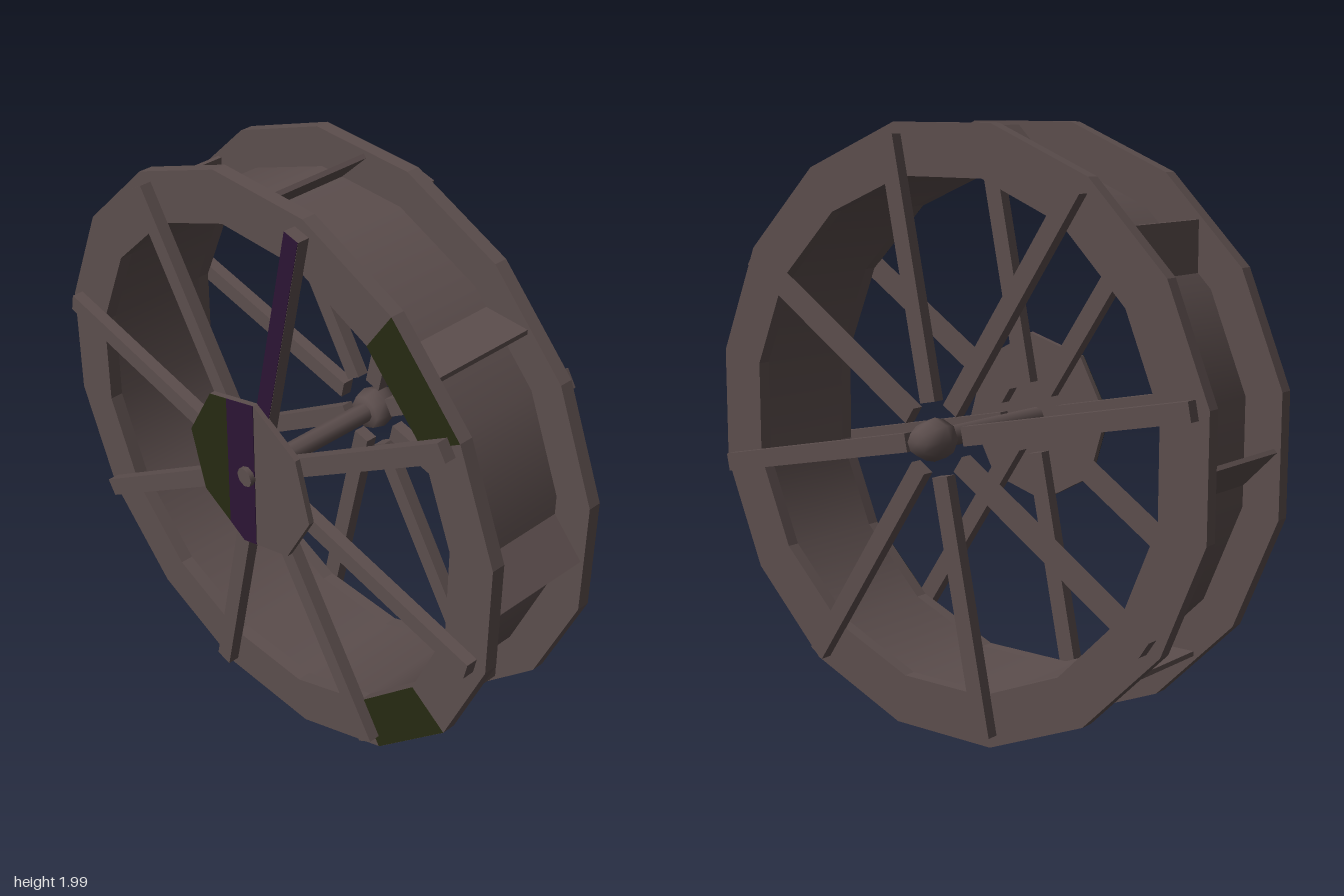
import * as THREE from 'three';

const wood = new THREE.MeshStandardMaterial({ color: 0x5c4e4d, side: THREE.DoubleSide });
wood.name = 'brownWood';
const plum = new THREE.MeshStandardMaterial({ color: 0x2c1434 });
plum.name = 'darkPlum';
const olive = new THREE.MeshStandardMaterial({ color: 0x262a12 });
olive.name = 'darkOlive';

const rad = THREE.MathUtils.degToRad;
const SIDES = 16;
const STEP = 360 / SIDES;

// Point in the wheel plane; angle rises from +z towards +y
const polar = (r, deg) => [r * Math.cos(rad(deg)), r * Math.sin(rad(deg))];
const toVec = ([z, y]) => new THREE.Vector2(-z, y);
const polygon = (r, sides, start) =>
  Array.from({ length: sides }, (_, i) => polar(r, start + (i * 360) / sides));

export function createModel() {
  const root = new THREE.Group();
  root.name = 'waterWheel';
  const wheel = new THREE.Group();
  wheel.name = 'wheel';
  wheel.position.y = 1;
  root.add(wheel);

  const add = (name, geometry, material = wood, parent = wheel) => {
    const mesh = new THREE.Mesh(geometry, material);
    mesh.name = name;
    parent.add(mesh);
    return mesh;
  };

  // Flat plate lying in the wheel plane, from x0 to x1
  const plate = (name, outline, x0, x1, material = wood, hole = null) => {
    const shape = new THREE.Shape(outline.map(toVec));
    if (hole) shape.holes.push(new THREE.Path(hole.map(toVec)));
    const g = new THREE.ExtrudeGeometry(shape, { depth: x1 - x0, bevelEnabled: false });
    g.rotateY(Math.PI / 2).translate(x0, 0, 0);
    return add(name, g, material);
  };

  // Side rims
  const outer = polygon(1.017, SIDES, STEP / 2);
  const inner = polygon(0.845, SIDES, STEP / 2);
  plate('rightRim', outer, -0.25, -0.203, wood, inner);
  plate('leftRim', outer, 0.165, 0.21, wood, inner);

  // Drum between the rims: outer and inner skin, smooth
  for (const [name, r] of [['drumOuter', 0.887], ['drumInner', 0.845]]) {
    const g = new THREE.CylinderGeometry(r, r, 0.37, SIDES, 1, true, rad(STEP / 2));
    g.rotateZ(Math.PI / 2).translate(-0.019, 0, 0);
    add(name, g);
  }

  // Tilted paddles across the drum
  for (let i = 0; i < 8; i++) {
    const a = polar(0.865, 7 + i * 45);
    const b = polar(0.98, -1 + i * 45);
    const dz = b[0] - a[0], dy = b[1] - a[1];
    const paddle = add('paddle', new THREE.BoxGeometry(0.37, 0.016, Math.hypot(dz, dy)));
    paddle.position.set(-0.019, (a[1] + b[1]) / 2, (a[0] + b[0]) / 2);
    paddle.rotation.x = -Math.atan2(dy, dz);
  }

  // Spokes on both sides
  for (const [name, x] of [['rightSpoke', -0.27], ['leftSpoke', 0.23]]) {
    for (let i = 0; i < 8; i++) {
      const deg = 33.4 + i * 45;
      const [z, y] = polar(0.548, deg);
      const spoke = add(name, new THREE.BoxGeometry(0.042, 0.062, 0.855));
      spoke.position.set(x, y, z);
      spoke.rotation.x = -rad(deg);
      // Dark face on the upper spoke of one side
      if (i === 1 && x < 0) {
        const face = add('spokeFace', new THREE.BoxGeometry(0.003, 0.06, 0.853), plum, spoke);
        face.position.x = -0.021;
      }
    }
  }

  // Hub disc with dark bands
  plate('hubDisc', polygon(0.29, 8, 84), -0.31, -0.29);
  plate('oliveBand', [[-0.1, 0.249], [-0.182, 0.225], [-0.288, 0.03], [-0.225, -0.182], [-0.1, -0.249]],
    -0.312, -0.309, olive);
  plate('plumBand', [[0.03, 0.288], [-0.1, 0.249], [-0.1, -0.249], [-0.03, -0.288], [0.03, -0.27]],
    -0.312, -0.309, plum);

  // Dark segments on the rim face
  for (const s of [1, -1]) {
    const [a, b] = [s * 33.75, s * 56.25];
    plate('rimBand', [polar(0.846, a), polar(1.016, a), polar(1.016, b), polar(0.846, b)],
      -0.252, -0.249, olive);
  }

  // Axle and its rounded hub cap
  const axle = new THREE.CylinderGeometry(0.034, 0.034, 0.61, 8);
  axle.rotateZ(Math.PI / 2).translate(-0.025, 0, 0);
  add('axle', axle);
  const profile = [[0, 0.2], [0.06, 0.2], [0.072, 0.245], [0.062, 0.285], [0.04, 0.33], [0, 0.33]];
  const cap = new THREE.LatheGeometry(profile.map(([r, x]) => new THREE.Vector2(r, x)), 8);
  cap.rotateZ(-Math.PI / 2);
  add('hubCap', cap);

  return root;
}
